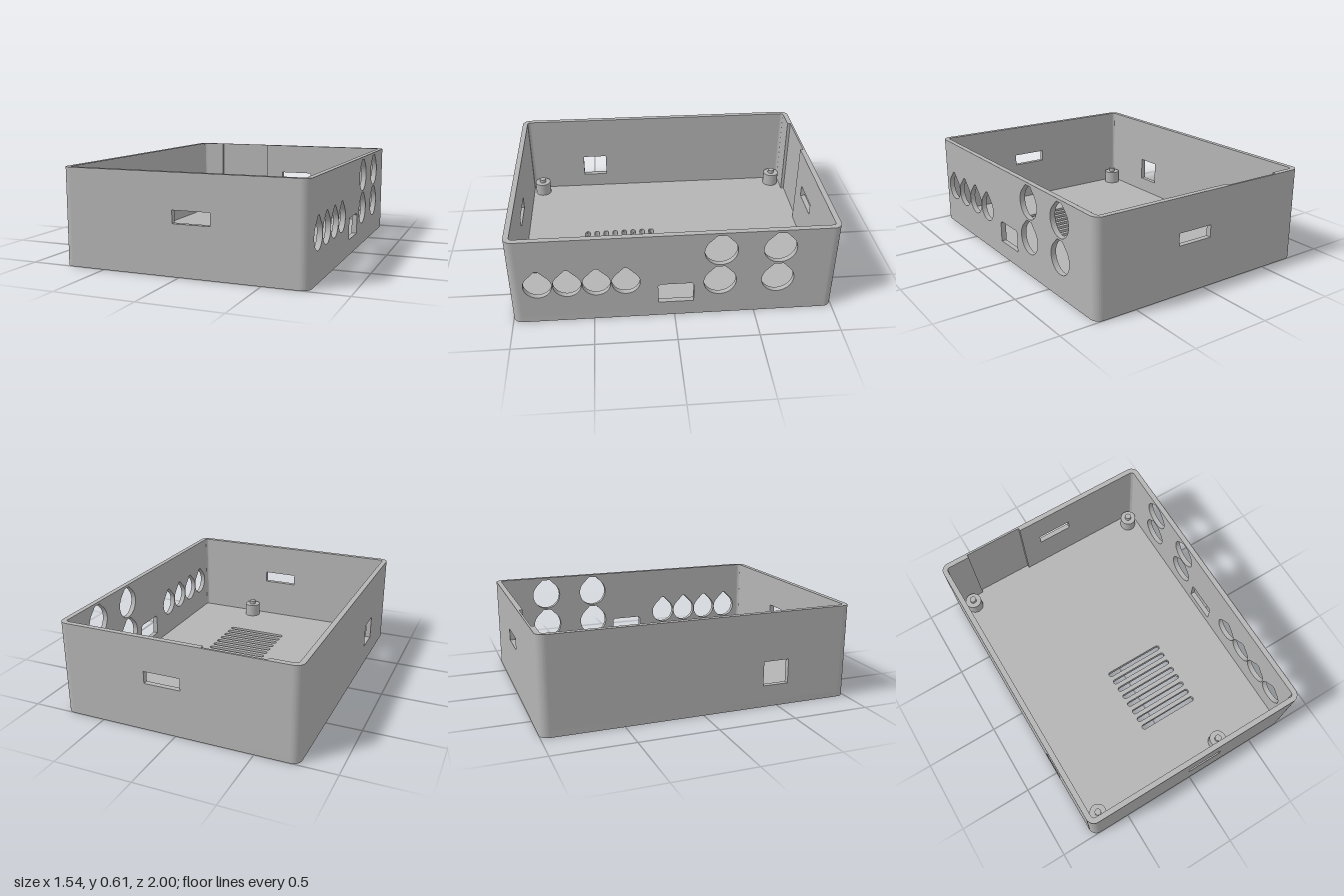
import * as THREE from 'three';
import { toCreasedNormals } from 'three/addons/utils/BufferGeometryUtils.js';

const W = 0.772, D = 1, H = 0.607;      // half width, half depth, height
const T = 0.034, R = 0.055;             // wall thickness, corner radius
const FLOOR = 0.04, POCKET = 0.02;      // floor thickness, depth of the foot pockets

// Outline from points
const poly = (pts, Type = THREE.Path) => new Type(pts.map(([x, y]) => new THREE.Vector2(x, y)));
const rect = (x0, y0, x1, y1, Type) => poly([[x0, y0], [x1, y0], [x1, y1], [x0, y1]], Type);

// Teardrop opening with a trimmed tip
function teardrop(x, y, r, tip) {
  const p = new THREE.Path();
  const flat = r * Math.SQRT2 - tip;
  p.absarc(x, y, r, Math.PI * 0.75, Math.PI * 2.25, false);
  p.lineTo(x + flat, y + tip);
  p.lineTo(x - flat, y + tip);
  p.closePath();
  return p;
}

// Slot with rounded ends
function slot(x0, x1, y, r) {
  const p = new THREE.Path();
  p.absarc(x1 - r, y, r, -Math.PI / 2, Math.PI / 2, false);
  p.absarc(x0 + r, y, r, Math.PI / 2, Math.PI * 1.5, false);
  p.closePath();
  return p;
}

function extrude(shape, depth, holes = []) {
  shape.holes.push(...holes);
  const g = new THREE.ExtrudeGeometry(shape, { depth, bevelEnabled: false, curveSegments: 20 });
  return toCreasedNormals(g, 0.6);
}

export function createModel() {
  const group = new THREE.Group();
  const grey = new THREE.MeshStandardMaterial({ color: 0xb4b4b4 });
  const add = (name, geometry, x = 0, y = 0, z = 0) => {
    const mesh = new THREE.Mesh(geometry, grey);
    mesh.name = name;
    mesh.position.set(x, y, z);
    group.add(mesh);
    return mesh;
  };

  // Floor: two layers with vents, the lower one also with round foot pockets
  const plan = () => {
    const s = new THREE.Shape();
    const corners = [[1, 1, 0], [-1, 1, 1], [-1, -1, 2], [1, -1, 3]];
    for (const [sx, sy, q] of corners) {
      s.absarc(sx * (W - R), sy * (D - R), R, q * Math.PI / 2, (q + 1) * Math.PI / 2, false);
    }
    s.closePath();
    return s;
  };
  const vents = () => Array.from({ length: 8 }, (_, i) => slot(-0.1, 0.325, -(0.093 + i * 0.0647), 0.017));
  const pockets = [];
  for (const x of [-0.645, 0.645]) {
    for (const z of [-0.87, 0.87]) {
      const p = new THREE.Path();
      p.absarc(x, z, 0.09, 0, Math.PI * 2, false);
      pockets.push(p);
    }
  }
  add('floorUnderside', extrude(plan(), POCKET, [...vents(), ...pockets]).rotateX(-Math.PI / 2));
  add('floorTop', extrude(plan(), FLOOR - POCKET, vents()).rotateX(-Math.PI / 2), 0, POCKET);

  // Rounded corner posts
  for (let q = 0; q < 4; q++) {
    const s = new THREE.Shape();
    s.absarc(0, 0, R, 0, Math.PI / 2, false);
    s.absarc(0, 0, R - T, Math.PI / 2, 0, true);
    s.closePath();
    const g = extrude(s, H - FLOOR).rotateX(-Math.PI / 2).rotateY(q * Math.PI / 2);
    const sx = q === 0 || q === 3 ? 1 : -1, sz = q < 2 ? -1 : 1;
    add('wallCorner', g, sx * (W - R), FLOOR, sz * (D - R));
  }

  // Front and back walls, with a shallow full-height recess in the back one
  const ex = W - R, ez = D - R;
  const window = () => rect(-0.04, 0.312, 0.197, 0.39);
  const panel = (x0, x1) => rect(x0, FLOOR, x1, H, THREE.Shape);
  add('frontWall', extrude(panel(-ex, ex), T, [window()]), 0, 0, D - T);
  add('backWallEnd', extrude(panel(-ex, -0.572), T), 0, 0, -D);
  add('backWallRecess', extrude(panel(-0.572, -0.175), 0.013), 0, 0, -D);
  add('backWall', extrude(panel(-0.175, ex), T, [window()]), 0, 0, -D);

  // Left wall: small and large teardrop openings and a port with trimmed upper corners
  const ports = [0.83, 0.652, 0.475, 0.297].map((z) => teardrop(-z, 0.275, 0.086, 0.113));
  for (const z of [-0.278, -0.635]) {
    for (const y of [0.248, 0.475]) ports.push(teardrop(-z, y, 0.1, 0.114));
  }
  ports.push(poly([[-0.102, 0.104], [0.118, 0.104], [0.118, 0.23], [0.104, 0.244], [-0.088, 0.244], [-0.102, 0.23]]));
  add('leftWall', extrude(panel(-ez, ez), T, ports).rotateY(Math.PI / 2), W - T);

  // Right wall with one square port
  const squarePort = rect(-0.57, 0.14, -0.4, 0.297);
  add('rightWall', extrude(panel(-ez, ez), T, [squarePort]).rotateY(Math.PI / 2), -W);

  // Standoffs with locating pins
  for (const [x, z] of [[-0.67, -0.897], [0.668, -0.897], [-0.67, 0.894], [0.289, 0.894]]) {
    add('standoff', new THREE.CylinderGeometry(0.056, 0.056, 0.09, 32), x, FLOOR + 0.045, z);
    add('standoffPin', new THREE.CylinderGeometry(0.022, 0.022, 0.025, 24), x, FLOOR + 0.1025, z);
  }
  return group;
}
